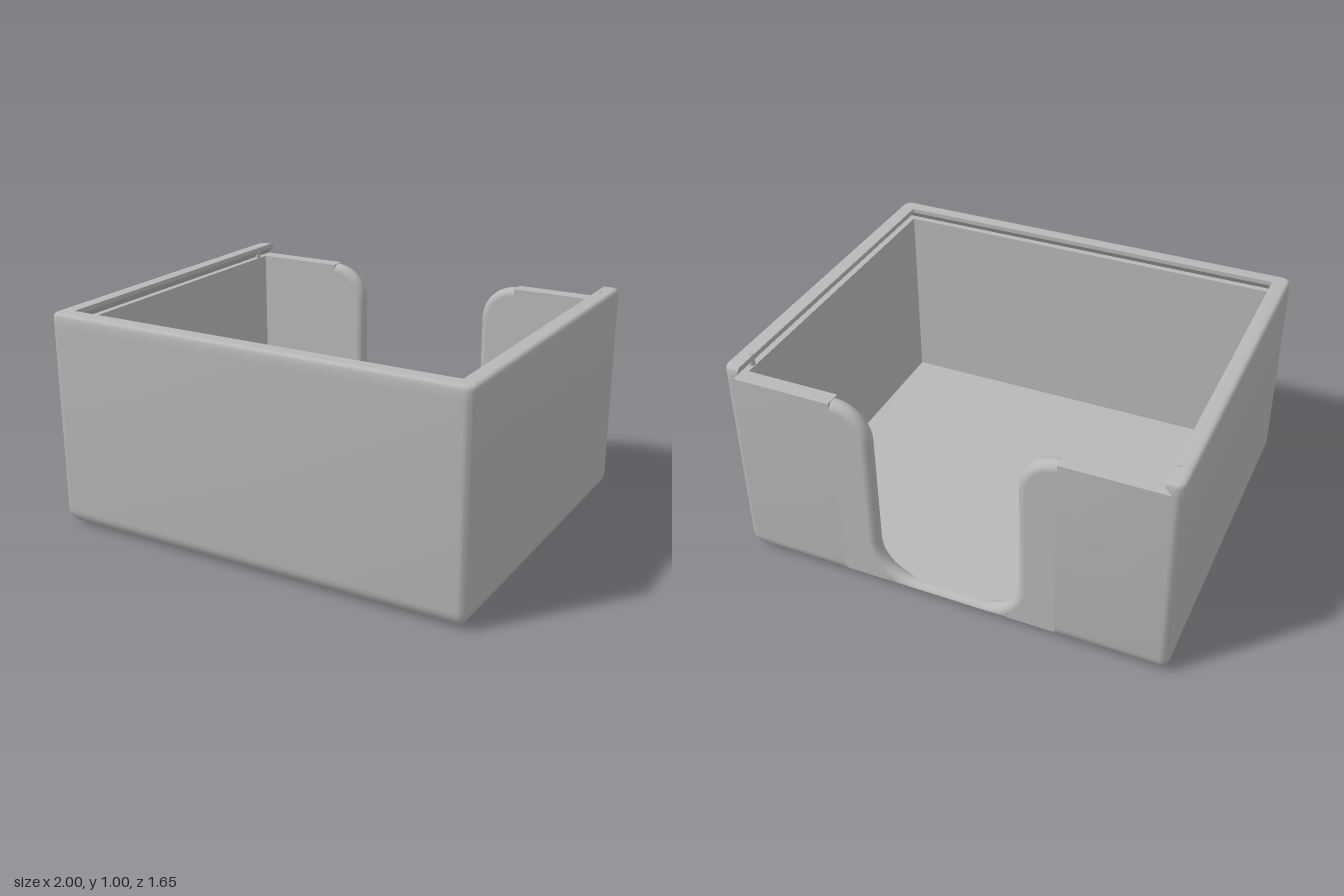
import * as THREE from 'three';
import { toCreasedNormals } from 'three/addons/utils/BufferGeometryUtils.js';

const W = 1, D = 0.825;             // outer half width and half depth
const WALL = 0.075, R = WALL / 2;   // wall thickness, radius of the rounded cutout edge
const CORNER = 0.04, FOOT = 0.08, RIM = 0.02;
const FLOOR = 0.065, LEDGE = 0.945, GAP = 0.5;
const LOW = FLOOR - R;              // top of the base, centre of the rounded edge above it

// How far the outer surface is drawn in at height y (bottom and top rounding)
function inset(y) {
  if (y < FOOT) return FOOT - Math.sqrt(Math.max(0, FOOT ** 2 - (FOOT - y) ** 2));
  if (y > 1 - RIM) return RIM - Math.sqrt(Math.max(0, RIM ** 2 - (y - 1 + RIM) ** 2));
  return 0;
}

// Rounded rectangle in plan, starting and ending on the back side
function outer(y) {
  const o = inset(y), r = Math.max(CORNER - o, 0), pts = [];
  [[1, -1, -90], [1, 1, 0], [-1, 1, 90], [-1, -1, 180]].forEach(([sx, sz, start]) => {
    for (let i = 0; i <= 6; i++) {
      const a = (start + i * 15) * Math.PI / 180;
      pts.push([sx * (W - o - r) + r * Math.cos(a), sz * (D - o - r) + r * Math.sin(a)]);
    }
  });
  return pts;
}

// Skin a stack of plan outlines and cap both ends
function stack(heights, outline) {
  const rings = heights.map(y => outline(y)), pos = [];
  const tri = (...p) => {
    const [a, b, c] = p.map(v => new THREE.Vector3(...v));
    if (b.clone().sub(a).cross(c.clone().sub(a)).length() > 1e-9) p.forEach(v => pos.push(...v));
  };
  const at = (k, i) => {
    const p = rings[k][i % rings[k].length];
    return [p[0], heights[k], p[1]];
  };
  for (let k = 0; k < rings.length - 1; k++) {
    for (let i = 0; i < rings[k].length; i++) {
      const a = at(k, i), b = at(k, i + 1), c = at(k + 1, i + 1), d = at(k + 1, i);
      tri(a, d, c);
      tri(a, c, b);
    }
  }
  for (const k of [0, rings.length - 1]) {
    const flat = rings[k].map(p => new THREE.Vector2(...p));
    THREE.ShapeUtils.triangulateShape(flat, []).forEach(([a, b, c]) => {
      if (k === 0) tri(at(k, a), at(k, b), at(k, c));
      else tri(at(k, a), at(k, c), at(k, b));
    });
  }
  const geo = new THREE.BufferGeometry();
  geo.setAttribute('position', new THREE.Float32BufferAttribute(pos, 3));
  return toCreasedNormals(geo, 0.5);
}

// Keep back wall parts above the base and within the rounded foot of the box
function trimBack(geo) {
  const p = geo.attributes.position;
  for (let i = 0; i < p.count; i++) {
    const y = Math.max(p.getY(i), LOW);
    p.setY(i, y);
    p.setZ(i, Math.max(p.getZ(i), -(D - inset(y))));
  }
  return geo;
}

export function createModel() {
  const group = new THREE.Group();
  const grey = new THREE.MeshStandardMaterial({ color: 0xb8b8b8 });
  grey.name = 'grey';
  const add = (name, geo) => {
    const mesh = new THREE.Mesh(geo, grey);
    mesh.name = name;
    group.add(mesh);
  };
  const ix = W - WALL, iz = D - WALL;

  // Base with rounded foot, and the floor
  add('base', stack([0, 0.002, 0.007, 0.015, LOW], outer));
  const floorDepth = D - R + iz;
  add('floor', new THREE.BoxGeometry(2 * ix, R, floorDepth)
    .translate(0, LOW + R / 2, iz - floorDepth / 2));

  // Front, sides and outer ends of the back wall
  add('walls', stack([LOW, 0.045, 0.06, FOOT, LEDGE], y => {
    const z = -(D - inset(y));
    return [[GAP, z], ...outer(y), [-GAP, z], [-GAP, -iz], [-ix, -iz], [-ix, iz],
      [ix, iz], [ix, -iz], [GAP, -iz]];
  }));

  // Upper rim with an undercut groove for a sliding lid, open at the back
  add('lidRail', stack([LEDGE, 0.98, 0.988, 0.994, 0.998, 1], y => {
    const d = y < 0.96 ? 0.045 : WALL, x = W - d, zi = D - d, zb = -(D - inset(y));
    return [[x, zb], ...outer(y), [-x, zb], [-x, zi], [x, zi]];
  }));

  // Cutout path along the middle of the rounded edge
  const path = new THREE.Path();
  path.moveTo(GAP, LEDGE - R);
  path.absarc(GAP, 0.775, 0.17 - R, Math.PI / 2, Math.PI, false);
  path.lineTo(0.33 + R, 0.245);
  path.absarc(0.15, 0.245, 0.18 + R, 0, -Math.PI / 2, true);
  const half = path.getPoints(14)
    .filter((p, i, all) => i === 0 || p.distanceTo(all[i - 1]) > 1e-5);

  // Back wall panels beside the cutout
  const edge = [LOW, 0.045, 0.06, FOOT].map(y => new THREE.Vector2(GAP, y));
  for (const s of [1, -1]) {
    const shape = new THREE.Shape([...half, ...edge].map(p => new THREE.Vector2(s * p.x, p.y)));
    const geo = new THREE.ExtrudeGeometry(shape, { depth: WALL, bevelEnabled: false });
    add(s > 0 ? 'leftBackPanel' : 'rightBackPanel', trimBack(geo.translate(0, 0, -D)));
  }

  // Fully rounded edge of the cutout
  const line = [...half, ...half.map(p => new THREE.Vector2(-p.x, p.y)).reverse()]
    .map(p => new THREE.Vector3(p.x, p.y, -D + R));
  const curve = new THREE.CurvePath();
  for (let i = 1; i < line.length; i++) curve.add(new THREE.LineCurve3(line[i - 1], line[i]));
  add('cutoutEdge', trimBack(new THREE.TubeGeometry(curve, 160, R, 20, false)));

  // Small lid catch pins in the groove
  for (const s of [1, -1]) {
    add(s > 0 ? 'leftCatchPin' : 'rightCatchPin', new THREE.CylinderGeometry(0.013, 0.013, 0.06, 16)
      .translate(s * 0.94, 0.972, -0.7));
  }
  return group;
}
